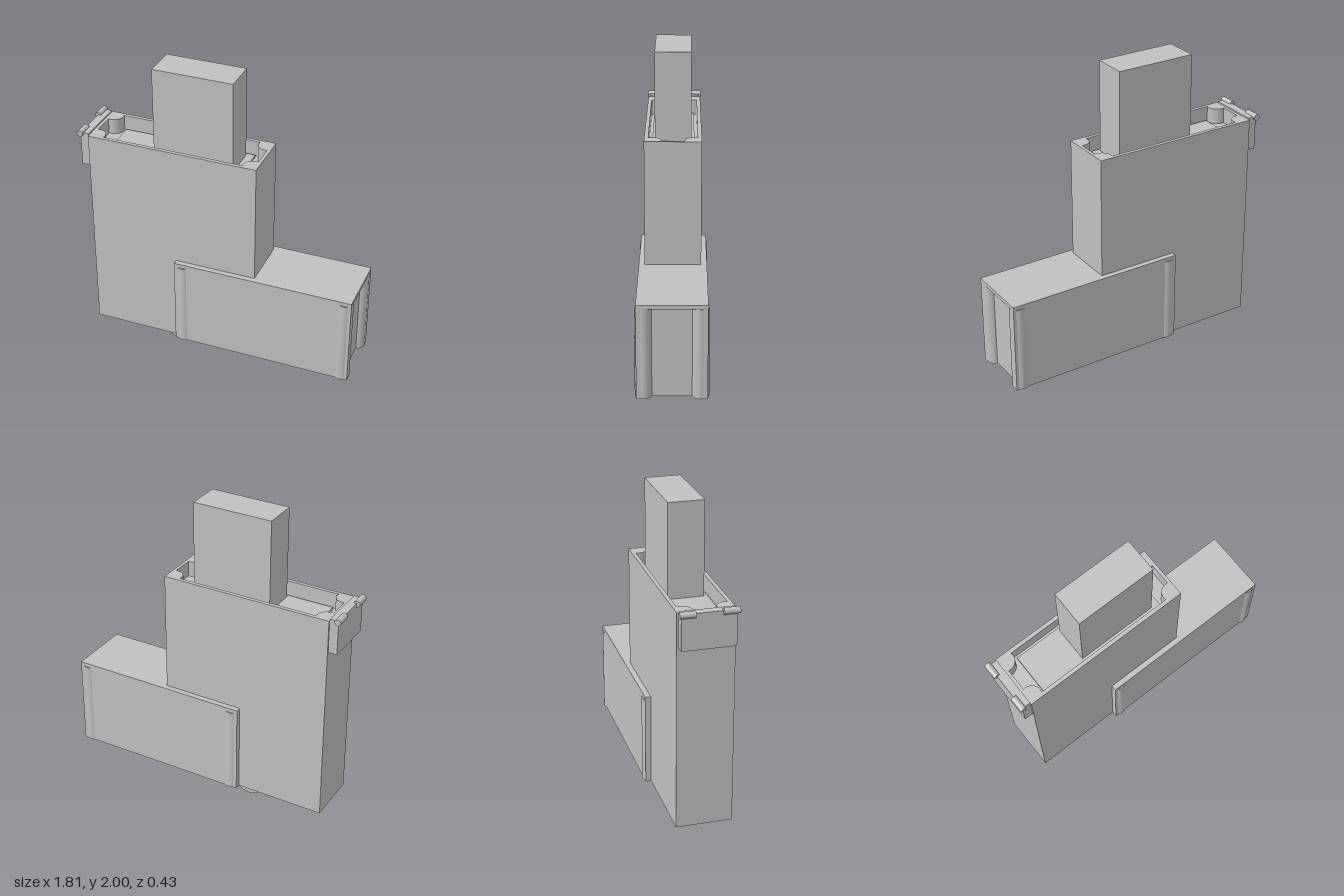
import * as THREE from 'three';

export function createModel() {
  const model = new THREE.Group();
  const grey = new THREE.MeshStandardMaterial({ color: 0xc0c0c0 });
  grey.name = 'light grey';

  const add = (name, geometry) => {
    const mesh = new THREE.Mesh(geometry, grey);
    mesh.name = name;
    model.add(mesh);
    return mesh;
  };
  // Box given by its limits on each axis
  const box = (name, x0, x1, y0, y1, z0, z1) =>
    add(name, new THREE.BoxGeometry(x1 - x0, y1 - y0, z1 - z0))
      .position.set((x0 + x1) / 2, (y0 + y1) / 2, (z0 + z1) / 2);
  // Plan outline raised from y0 to y1
  const raise = (name, shape, y0, y1) => {
    const g = new THREE.ExtrudeGeometry(shape, { depth: y1 - y0, bevelEnabled: false, curveSegments: 10 });
    add(name, g.rotateX(-Math.PI / 2)).position.y = y0;
  };
  const rectangle = (x0, x1, h) => new THREE.Shape([
    [x0, -h], [x1, -h], [x1, h], [x0, h]].map(p => new THREE.Vector2(...p)));

  // Well outline: a rectangle whose four corners hold rounded posts
  const well = (() => {
    const cx = -0.283, endX = 0.527, sideX = 0.455, endZ = 0.07, sideZ = 0.148;
    const pts = [];
    for (const [sx, sz] of [[1, 1], [-1, 1], [-1, -1], [1, -1]]) {
      const corner = [[endX, endZ]];
      for (let i = 0; i <= 10; i++) {
        const a = -Math.PI / 2 - (i / 10) * Math.PI / 2;
        corner.push([endX - 0.015 + 0.06 * Math.cos(a), 0.13 + 0.06 * Math.sin(a)]);
      }
      corner.push([sideX, sideZ]);
      if (sx * sz < 0) corner.reverse();
      corner.forEach(([x, z]) => pts.push(new THREE.Vector2(cx + sx * x, sz * z)));
    }
    return pts;
  })();

  // Tall body with a shallow well in the top
  const shell = rectangle(-0.83, 0.265, 0.172);
  shell.holes.push(new THREE.Path(well));
  raise('bodyShell', shell, 0.14, 1.5);
  raise('bodyCore', new THREE.Shape(well), 0.14, 1.4);
  box('wellFloorPlate', -0.715, 0.147, 1.39, 1.415, -0.13, 0.13);
  box('topBlock', -0.418, 0.095, 1.35, 2, -0.11, 0.11);

  // Low side cover, open underneath
  box('coverTop', -0.26, 0.9, 0.7, 0.725, -0.207, 0.207);
  box('coverEnd', 0.84, 0.86, 0.14, 0.7, -0.17, 0.17);
  for (const s of [1, -1]) {
    const z = [s * 0.17, s * 0.207].sort((a, b) => a - b);
    box('coverWall', -0.26, 0.9, 0.14, 0.7, ...z);
    for (const x of [-0.21, 0.852]) {
      add('coverColumn', new THREE.CylinderGeometry(0.05, 0.05, 0.56, 32))
        .position.set(x, 0.42, s * 0.166);
    }
  }

  // Hinge plate and its two pins at the upper edge
  box('hingePlate', -0.885, -0.83, 1.29, 1.51, -0.162, 0.162);
  for (const s of [1, -1]) {
    const pin = add('hingePin', new THREE.CylinderGeometry(0.02, 0.02, 0.095, 20));
    pin.rotation.x = Math.PI / 2;
    pin.position.set(-0.885, 1.506, s * 0.127);
  }

  // Half wheels under the body, with a core between them
  const halfWheel = (name, r, z, width) => {
    const s = new THREE.Shape();
    s.absarc(0, 0, r, Math.PI, 2 * Math.PI, false);
    s.closePath();
    add(name, new THREE.ExtrudeGeometry(s, { depth: width, bevelEnabled: false, curveSegments: 28 }))
      .position.set(-0.282, 0.14, z);
  };
  halfWheel('wheelLeft', 0.106, 0.02, 0.06);
  halfWheel('wheelRight', 0.106, -0.08, 0.06);
  halfWheel('wheelCore', 0.065, -0.02, 0.04);

  // Stepped catch beside the wheel
  const catchShape = new THREE.Shape([
    [-0.24, 0.06], [-0.143, 0.06], [-0.143, 0], [-0.085, 0],
    [-0.085, 0.108], [-0.107, 0.108], [-0.107, 0.14], [-0.24, 0.14],
  ].map(p => new THREE.Vector2(...p)));
  add('catch', new THREE.ExtrudeGeometry(catchShape, { depth: 0.036, bevelEnabled: false }))
    .position.z = -0.018;

  return model;
}
